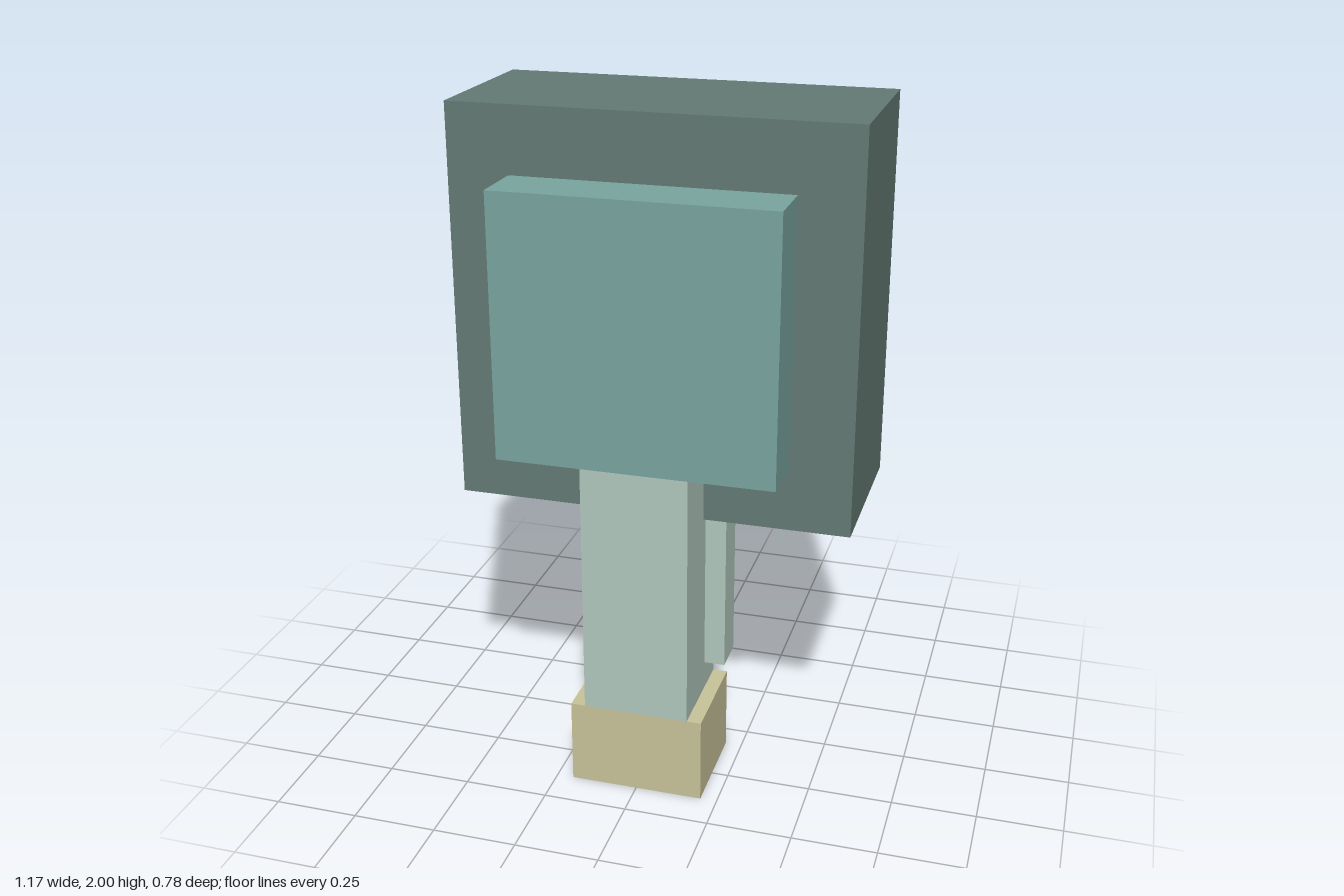
import * as THREE from 'three';

const flat = (name, color) => {
  const m = new THREE.MeshStandardMaterial({ color });
  m.name = name;
  return m;
};

export function createModel() {
  const model = new THREE.Group();
  model.name = 'blockTree';

  const darkGreen = flat('dark grey green', 0x657b75);
  const teal = flat('teal', 0x7aa6a0);
  const paleGreen = flat('pale green', 0xb3c9bf);
  const sand = flat('sand', 0xc9c49a);

  // Box given by its extents along x, y and z
  const block = (name, material, [x0, x1], [y0, y1], [z0, z1]) => {
    const mesh = new THREE.Mesh(new THREE.BoxGeometry(x1 - x0, y1 - y0, z1 - z0), material);
    mesh.position.set((x0 + x1) / 2, (y0 + y1) / 2, (z0 + z1) / 2);
    mesh.name = name;
    model.add(mesh);
  };

  // Large upper block with a panel on the front and the back
  block('upperBlock', darkGreen, [-0.585, 0.585], [0.835, 2], [-0.301, 0.215]);
  block('frontPanel', teal, [-0.405, 0.405], [1.03, 1.805], [0.215, 0.392]);
  block('backPanel', teal, [-0.502, 0.502], [0.918, 1.92], [-0.392, -0.301]);

  // Post with a rib along each side
  block('post', paleGreen, [-0.157, 0.157], [0.26, 1.03], [0.08, 0.388]);
  block('leftRib', paleGreen, [0.157, 0.219], [0.348, 0.9], [0.08, 0.19]);
  block('rightRib', paleGreen, [-0.219, -0.157], [0.348, 0.9], [0.08, 0.19]);

  // Foot
  block('foot', sand, [-0.2, 0.2], [0, 0.26], [0.08, 0.388]);

  return model;
}
